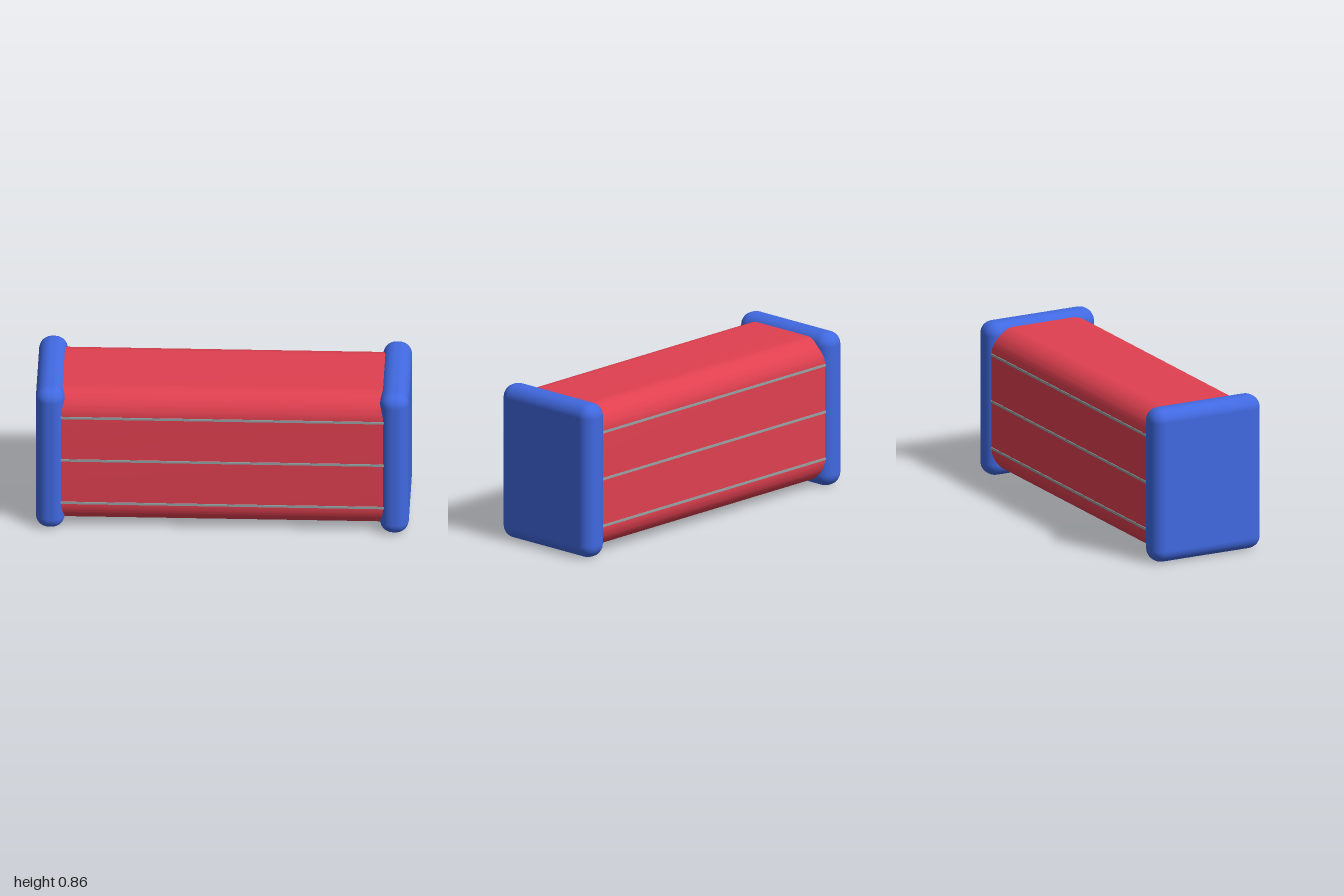
import * as THREE from 'three';
import { toCreasedNormals } from 'three/addons/utils/BufferGeometryUtils.js';
import { RoundedBoxGeometry } from 'three/addons/geometries/RoundedBoxGeometry.js';

const HEIGHT = 0.857, MID = HEIGHT / 2;

function roundedRect(w, h, r) {
  const s = new THREE.Shape();
  const x = w / 2, y = h / 2;
  s.moveTo(x, -y + r);
  s.absarc(x - r, y - r, r, 0, Math.PI / 2);
  s.absarc(-x + r, y - r, r, Math.PI / 2, Math.PI);
  s.absarc(-x + r, -y + r, r, Math.PI, Math.PI * 1.5);
  s.absarc(x - r, -y + r, r, Math.PI * 1.5, Math.PI * 2);
  return s;
}

export function createModel() {
  const group = new THREE.Group();
  const red = new THREE.MeshStandardMaterial({ color: 0xe04050 });
  red.name = 'bodyRed';
  const blue = new THREE.MeshStandardMaterial({ color: 0x4169e1 });
  blue.name = 'capBlue';
  const grey = new THREE.MeshStandardMaterial({ color: 0x95a5a6 });
  grey.name = 'stripeGrey';

  const add = (name, geometry, material, x, y, z) => {
    const mesh = new THREE.Mesh(geometry, material);
    mesh.name = name;
    mesh.position.set(x, y, z);
    group.add(mesh);
  };

  // Long body with rounded edges, its ends sunk into the caps
  const length = 1.84;
  const extruded = new THREE.ExtrudeGeometry(roundedRect(0.62, 0.8, 0.13), {
    depth: length, bevelEnabled: false, curveSegments: 12,
  });
  extruded.translate(0, 0, -length / 2).rotateY(Math.PI / 2);
  add('body', toCreasedNormals(extruded, Math.PI / 5), red, 0, MID, 0);

  // Soft end caps
  const cap = new RoundedBoxGeometry(0.155, HEIGHT, 0.666, 6, 0.07);
  for (const side of [-1, 1]) {
    add(side > 0 ? 'leftCap' : 'rightCap', cap, blue, side * 0.9225, MID, 0);
  }

  // Three thin stripes along the front and the back
  const stripe = new THREE.BoxGeometry(1.76, 0.013, 0.008);
  for (const side of [-1, 1]) {
    for (const dy of [-0.262, 0, 0.262]) {
      add(side > 0 ? 'frontStripe' : 'backStripe', stripe, grey, 0, MID + dy, side * 0.31);
    }
  }
  return group;
}
